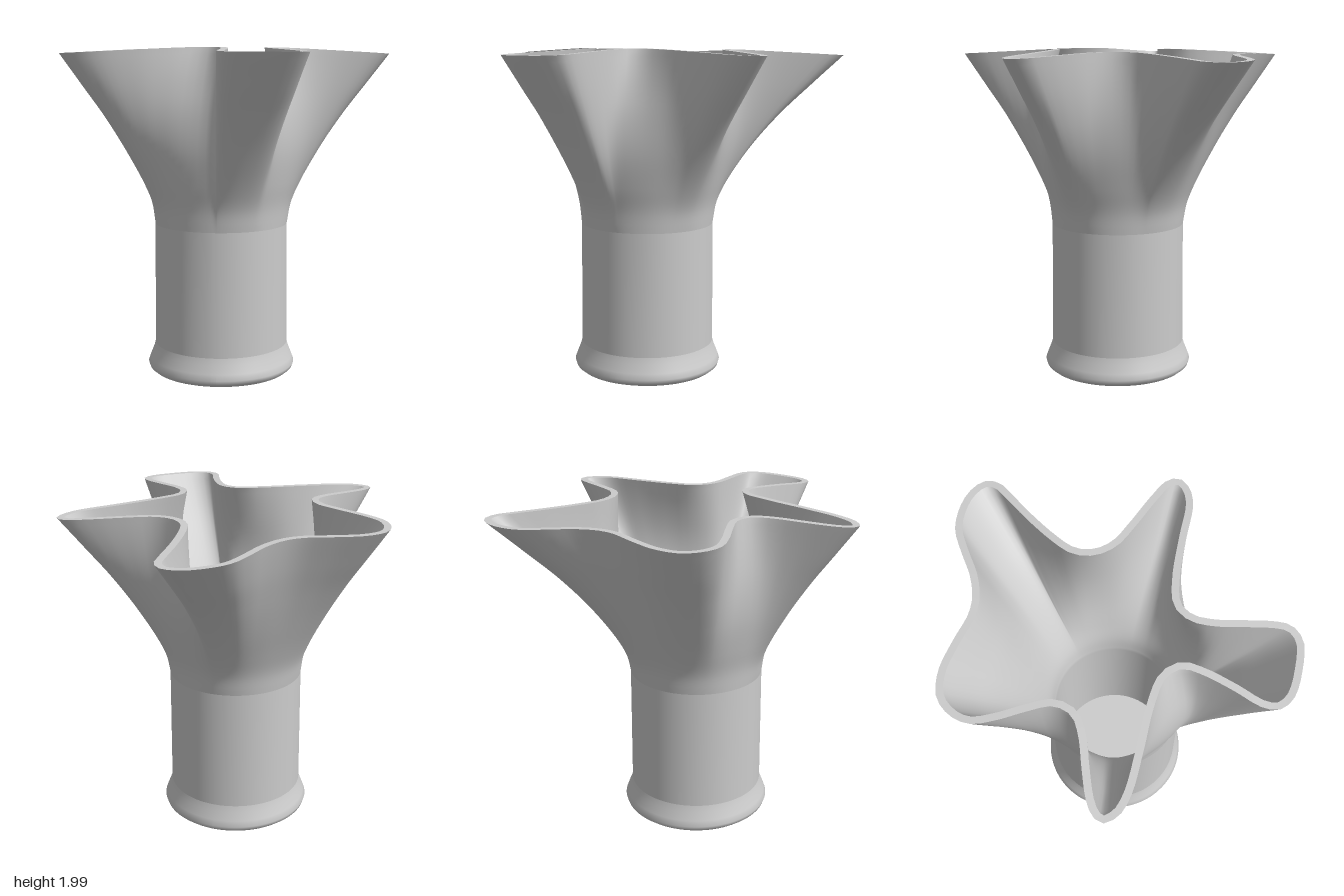
import * as THREE from 'three';

const N = 150;            // points around each ring
const CX = -0.022, CZ = 0.003; // axis of the round stem
const WALL = 0.04, FLOOR_Y = 0.1;

// Outer rim outline as x, z pairs, from the front lobe round towards +x
const OUTLINE = [
  0, 0.99, 0.17, 0.97, 0.24, 0.9, 0.245, 0.82, 0.21, 0.64, 0.18, 0.5, 0.18, 0.38, 0.23, 0.305, 0.38, 0.27, 0.62, 0.26,
  0.86, 0.255, 0.96, 0.21, 1, 0.15, 0.97, 0.085, 0.85, 0.02, 0.66, -0.06, 0.52, -0.13, 0.45, -0.22, 0.44, -0.32, 0.49, -0.43,
  0.6, -0.6, 0.72, -0.76, 0.765, -0.83, 0.76, -0.91, 0.69, -0.97, 0.58, -1, 0.43, -0.99, 0.3, -0.92, 0.16, -0.83, 0.04, -0.785,
  -0.06, -0.78, -0.22, -0.82, -0.4, -0.85, -0.54, -0.82, -0.62, -0.73, -0.645, -0.62, -0.6, -0.49, -0.52, -0.34, -0.47, -0.22, -0.5, -0.12,
  -0.6, -0.06, -0.75, -0.01, -0.91, 0.05, -0.98, 0.1, -1, 0.15, -0.95, 0.22, -0.84, 0.26, -0.6, 0.275, -0.37, 0.28, -0.2, 0.31,
  -0.135, 0.38, -0.14, 0.48, -0.19, 0.66, -0.245, 0.82, -0.235, 0.91, -0.16, 0.97,
];

// Stem and flare levels: height, circle radius, share of the lobed outline
const FOOT = [[0, 0.39, 0], [0.012, 0.425, 0], [0.03, 0.447, 0], [0.055, 0.455, 0], [0.09, 0.442, 0], [0.14, 0.422, 0], [0.18, 0.411, 0]];
const FLARE = [[0.93, 0.405, 0], [1.06, 0.42, 0.02], [1.2, 0.455, 0.07], [1.4, 0.505, 0.2], [1.6, 0.54, 0.41], [1.8, 0.56, 0.7], [1.99, 0.57, 1]];

function rimSamples() {
  const pts = [];
  for (let i = 0; i < OUTLINE.length; i += 2) pts.push(new THREE.Vector3(OUTLINE[i], 0, OUTLINE[i + 1]));
  const curve = new THREE.CatmullRomCurve3(pts, true);
  curve.arcLengthDivisions = 1000;
  let last = 0;
  return curve.getSpacedPoints(N).slice(0, N).map((p, i) => {
    // Matching direction on the stem: mostly the true angle, evened out a little
    let a = Math.atan2(p.x, p.z);
    while (a < last - Math.PI) a += 2 * Math.PI;
    last = a;
    return { x: p.x, z: p.z, a: 0.75 * a + 0.25 * (i / N) * 2 * Math.PI };
  });
}

const RIM = rimSamples();

// One closed ring, blended from circle to lobed outline
function ring([y, r, s]) {
  return RIM.map((p) => {
    const tip = Math.max(0, Math.hypot(p.x, p.z) - 0.4);
    return new THREE.Vector3(
      THREE.MathUtils.lerp(CX + r * Math.sin(p.a), p.x, s),
      y - 0.055 * tip * s,
      THREE.MathUtils.lerp(CZ + r * Math.cos(p.a), p.z, s));
  });
}

// Same ring moved inward by the wall thickness
function inset(points, d) {
  return points.map((p, i) => {
    const t = points[(i + 1) % N].clone().sub(points[(i + N - 1) % N]).setY(0).normalize();
    return new THREE.Vector3(p.x + t.z * d, p.y, p.z - t.x * d);
  });
}

const centre = (y) => RIM.map(() => new THREE.Vector3(CX, y, CZ));

// Skin a list of rings
function loft(name, rings, material) {
  const pos = [], index = [];
  rings.forEach((r) => r.forEach((p) => pos.push(p.x, p.y, p.z)));
  for (let j = 0; j < rings.length - 1; j++) {
    for (let i = 0; i < N; i++) {
      const k = (i + 1) % N, a = j * N, b = a + N;
      index.push(a + i, a + k, b + k, a + i, b + k, b + i);
    }
  }
  const geo = new THREE.BufferGeometry();
  geo.setAttribute('position', new THREE.Float32BufferAttribute(pos, 3));
  geo.setIndex(index);
  geo.computeVertexNormals();
  const mesh = new THREE.Mesh(geo, material);
  mesh.name = name;
  return mesh;
}

export function createModel() {
  const group = new THREE.Group();
  group.name = 'vase';
  const material = new THREE.MeshStandardMaterial({ color: 0xcccccc, side: THREE.DoubleSide });

  const flare = new THREE.CatmullRomCurve3(FLARE.map((l) => new THREE.Vector3(...l)))
    .getPoints(30).map((v) => v.toArray());
  const flareRings = flare.map(ring);
  const footRings = FOOT.map(ring);
  const innerRings = flareRings.map((r) => inset(r, WALL)).reverse();
  const floorRing = inset(ring([FLOOR_Y, 0.4, 0]), WALL);
  const top = flareRings[flareRings.length - 1];

  group.add(
    loft('underside', [centre(0), footRings[0]], material),
    loft('foot', footRings, material),
    loft('stem', [footRings[footRings.length - 1], flareRings[0]], material),
    loft('lobedFlare', flareRings, material),
    loft('rim', [top, innerRings[0]], material),
    loft('innerWall', [...innerRings, floorRing], material),
    loft('innerFloor', [floorRing, centre(FLOOR_Y)], material),
  );
  return group;
}
